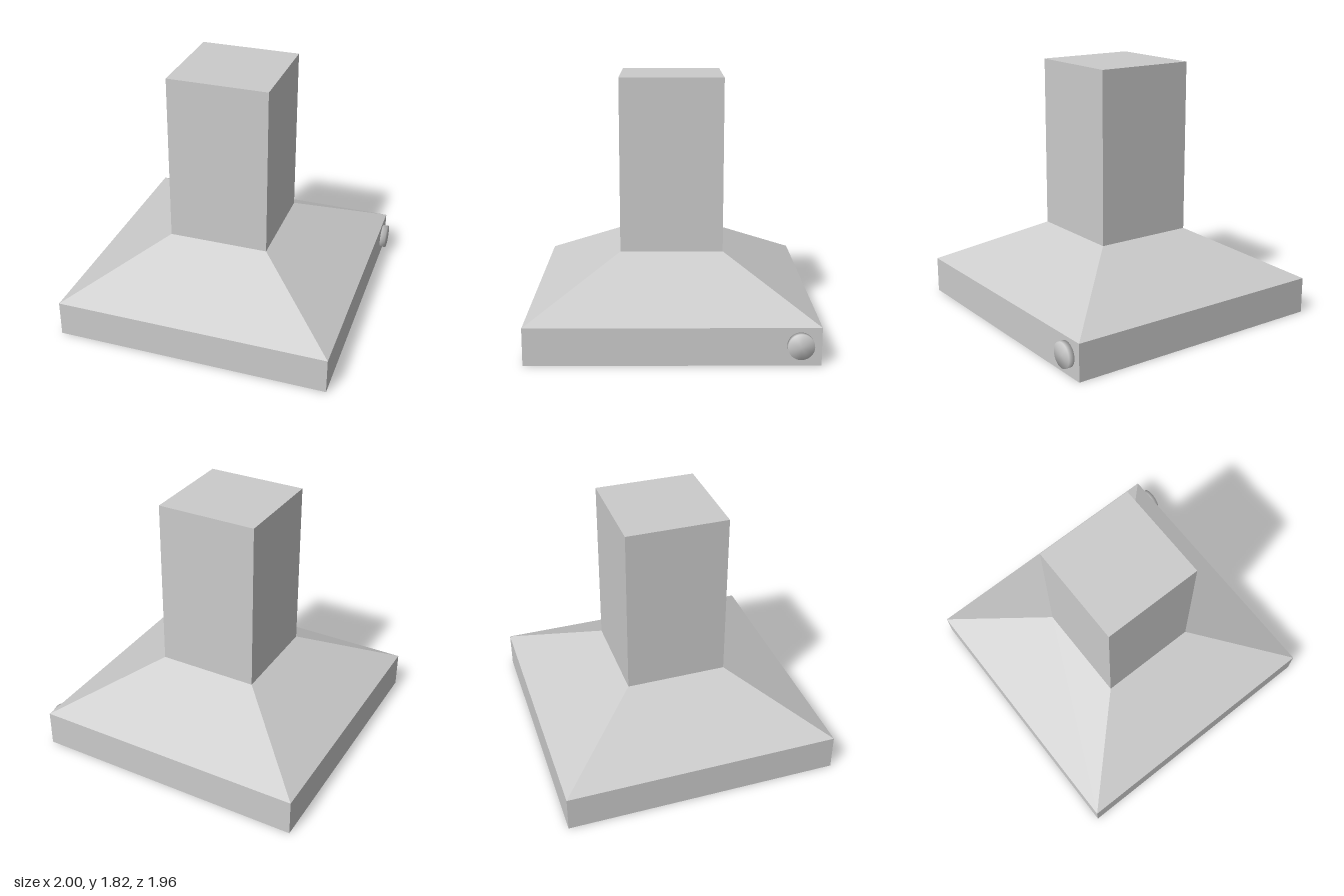
import * as THREE from 'three';
import { mergeVertices } from 'three/addons/utils/BufferGeometryUtils.js';

const AXIS_X = -0.02; // the body sits slightly off centre to leave room for the knob

// Square shell swept from a profile of [half width, height] points.
function squareShell(name, profile) {
  const points = profile.map(([half, y]) => new THREE.Vector2(half * Math.SQRT2, y));
  const geometry = new THREE.LatheGeometry(points, 4, Math.PI / 4).toNonIndexed();
  geometry.computeVertexNormals();
  const mesh = new THREE.Mesh(geometry, new THREE.MeshStandardMaterial({ color: 0xcccccc, flatShading: true }));
  mesh.name = name;
  mesh.position.x = AXIS_X;
  return mesh;
}

// Short round knob whose normals are blended over its edges.
function createKnob() {
  const round = new THREE.CylinderGeometry(0.088, 0.088, 0.04, 32);
  round.deleteAttribute('normal');
  round.deleteAttribute('uv');
  const geometry = mergeVertices(round);
  geometry.computeVertexNormals();
  const knob = new THREE.Mesh(geometry, new THREE.MeshStandardMaterial({ color: 0xcccccc }));
  knob.name = 'controlKnob';
  knob.rotation.z = -Math.PI / 2;
  knob.position.set(0.98, 0.142, -0.84);
  return knob;
}

export function createModel() {
  const group = new THREE.Group();
  group.name = 'rangeHood';
  group.add(
    // Hollow inside of the duct, closed at the top
    squareShell('ductInterior', [[0, 1.78], [0.32, 1.78], [0.32, 0.42]]),
    // Two stepped recesses and the bottom rim
    squareShell('steppedUnderside', [[0.32, 0.42], [0.6, 0.42], [0.6, 0.12], [0.87, 0.12], [0.87, 0], [0.98, 0]]),
    // Upright band and sloping canopy
    squareShell('canopyBand', [[0.98, 0], [0.98, 0.26]]),
    squareShell('canopySlope', [[0.98, 0.26], [0.36, 0.6]]),
    // Square chimney with its flat top
    squareShell('chimney', [[0.36, 0.6], [0.36, 1.82], [0, 1.82]]),
    createKnob()
  );
  return group;
}
